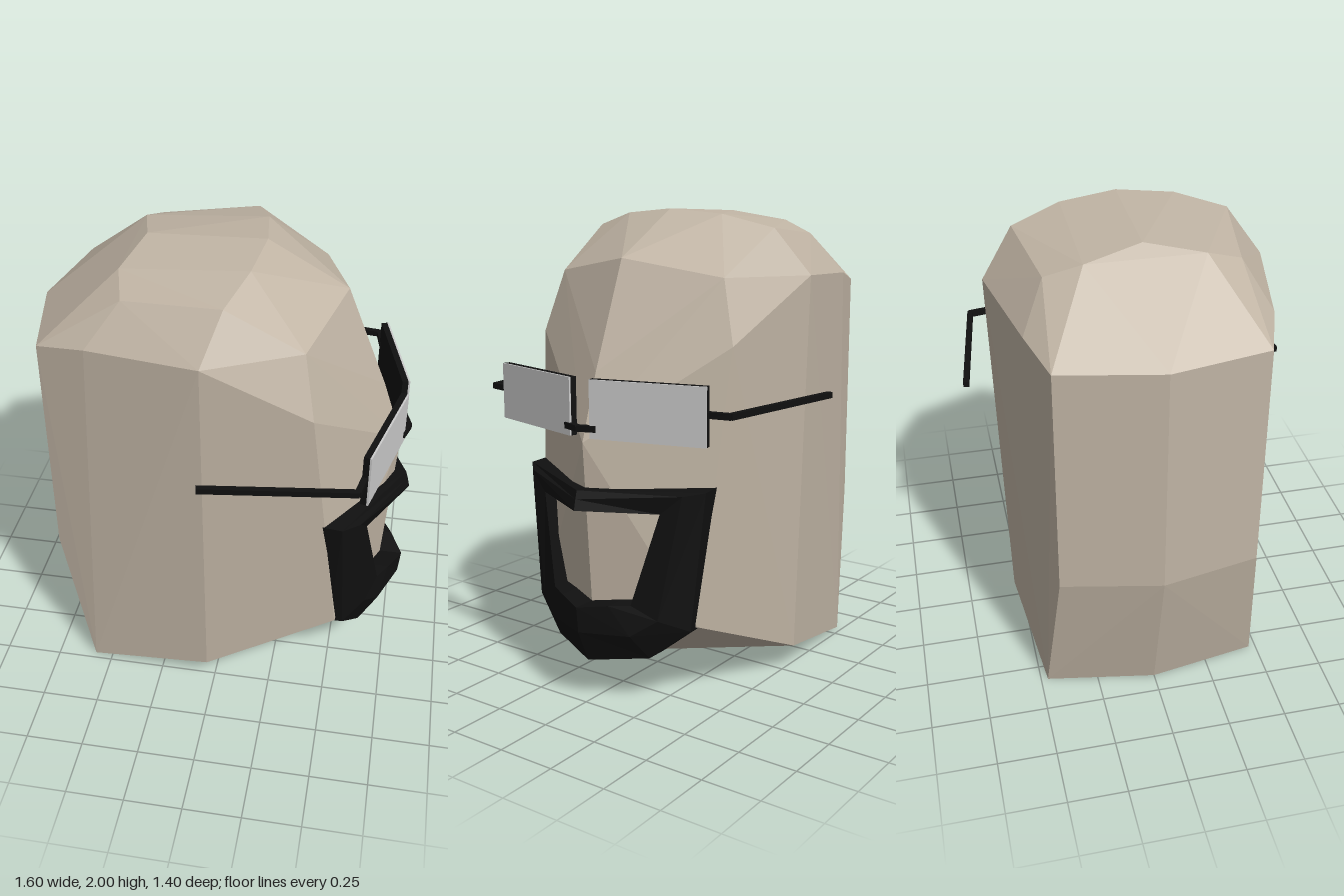
import * as THREE from 'three';
import { ConvexGeometry } from 'three/addons/geometries/ConvexGeometry.js';

const skin = new THREE.MeshStandardMaterial({ color: 0xc0b4a4, flatShading: true });
const black = new THREE.MeshStandardMaterial({ color: 0x101010, flatShading: true });
const grey = new THREE.MeshStandardMaterial({ color: 0xcccccc, flatShading: true });

function add(parent, name, geometry, material) {
  const mesh = new THREE.Mesh(geometry, material);
  mesh.name = name;
  parent.add(mesh);
  return mesh;
}

// Faceted head facing +x: the hull of one half's corners and their mirror image
function headGeometry() {
  const half = [
    // centre line, from the back of the neck over the crown to the chin
    [-0.66, 0, 0], [-0.8, 0.66, 0], [-0.8, 1.67, 0], [-0.35, 1.985, 0], [0.14, 2, 0],
    [0.475, 1.81, 0], [0.65, 1.37, 0], [0.74, 1.1, 0], [0.695, 0.35, 0], [0.19, 0.04, 0],
    // crown
    [-0.41, 1.945, 0.24], [-0.37, 1.89, 0.39], [0.11, 1.98, 0.24], [0.04, 1.925, 0.45],
    // back corner, side ridge and front corner
    [-0.715, 1.67, 0.42], [-0.715, 0.66, 0.42], [-0.58, 0, 0.47], [-0.5, 1.715, 0.49],
    [-0.03, 1.735, 0.585], [-0.03, 0.11, 0.54],
    [0.35, 1.74, 0.41], [0.4, 1.48, 0.485], [0.53, 0.35, 0.41],
  ];
  const points = [];
  for (const [x, y, z] of half) {
    points.push(new THREE.Vector3(x, y, z));
    if (z) points.push(new THREE.Vector3(x, y, -z));
  }
  return new ConvexGeometry(points);
}

// Moustache and beard: a closed ring of five-sided cross-sections
function beardGeometry() {
  // each section: outer back, outer front, middle front, inner front, inner back
  const half = [
    [[0.68, 0.915, 0], [0.78, 0.915, 0], [0.79, 0.88, 0], [0.8, 0.835, 0], [0.68, 0.835, 0]],
    [[0.45, 0.925, 0.45], [0.54, 0.92, 0.455], [0.61, 0.91, 0.39], [0.635, 0.83, 0.3], [0.53, 0.83, 0.3]],
    [[0.51, 0.34, 0.4], [0.565, 0.34, 0.4], [0.655, 0.39, 0.3], [0.7, 0.45, 0.2], [0.58, 0.45, 0.2]],
    [[0.54, 0.21, 0.24], [0.63, 0.21, 0.24], [0.71, 0.32, 0.2], [0.745, 0.445, 0.12], [0.62, 0.445, 0.12]],
    [[0.61, 0.18, 0], [0.73, 0.18, 0], [0.79, 0.32, 0], [0.8, 0.43, 0], [0.66, 0.43, 0]],
  ];
  const mirrored = half.slice(1, -1).reverse().map(s => s.map(([x, y, z]) => [x, y, -z]));
  const ring = [...half, ...mirrored];
  const n = ring.length, m = 5, index = [];
  for (let i = 0; i < n; i++) {
    for (let j = 0; j < m; j++) {
      const a = i * m + j, b = ((i + 1) % n) * m + j;
      const c = i * m + (j + 1) % m, d = ((i + 1) % n) * m + (j + 1) % m;
      index.push(a, b, c, b, d, c);
    }
  }
  const indexed = new THREE.BufferGeometry();
  indexed.setAttribute('position', new THREE.Float32BufferAttribute(ring.flat(2), 3));
  indexed.setIndex(index);
  const geometry = indexed.toNonIndexed();
  geometry.computeVertexNormals();
  return geometry;
}

// Square bar between two points
function bar(parent, name, from, to, size = 0.025) {
  const a = new THREE.Vector3(...from), b = new THREE.Vector3(...to);
  const mesh = add(parent, name, new THREE.BoxGeometry(size, size, a.distanceTo(b) + size * 0.4), black);
  mesh.position.copy(a).lerp(b, 0.5);
  mesh.lookAt(b);
}

export function createModel() {
  const model = new THREE.Group();
  model.name = 'beardedHead';
  add(model, 'head', headGeometry(), skin);
  add(model, 'beard', beardGeometry(), black);

  const glasses = new THREE.Group();
  glasses.name = 'glasses';
  model.add(glasses);
  for (const s of [1, -1]) {
    // angled lens with its black backing plate
    const eye = new THREE.Group();
    eye.name = 'lensAssembly';
    eye.position.set(0.695, 1.2425, 0.285 * s);
    eye.rotation.y = -0.25 * s;
    glasses.add(eye);
    add(eye, 'lens', new THREE.BoxGeometry(0.008, 0.235, 0.485), grey).position.x = -0.004;
    add(eye, 'lensFrame', new THREE.BoxGeometry(0.026, 0.235, 0.485), black).position.x = -0.021;
    // hinge, temple arm and half of the bridge
    bar(glasses, 'hinge', [0.615, 1.25, 0.5 * s], [0.595, 1.25, 0.603 * s]);
    bar(glasses, 'templeArm', [0.595, 1.25, 0.603 * s], [-0.025, 1.25, 0.685 * s]);
    bar(glasses, 'bridge', [0.745, 1.165, 0.07 * s], [0.768, 1.165, 0]);
  }
  return model;
}
